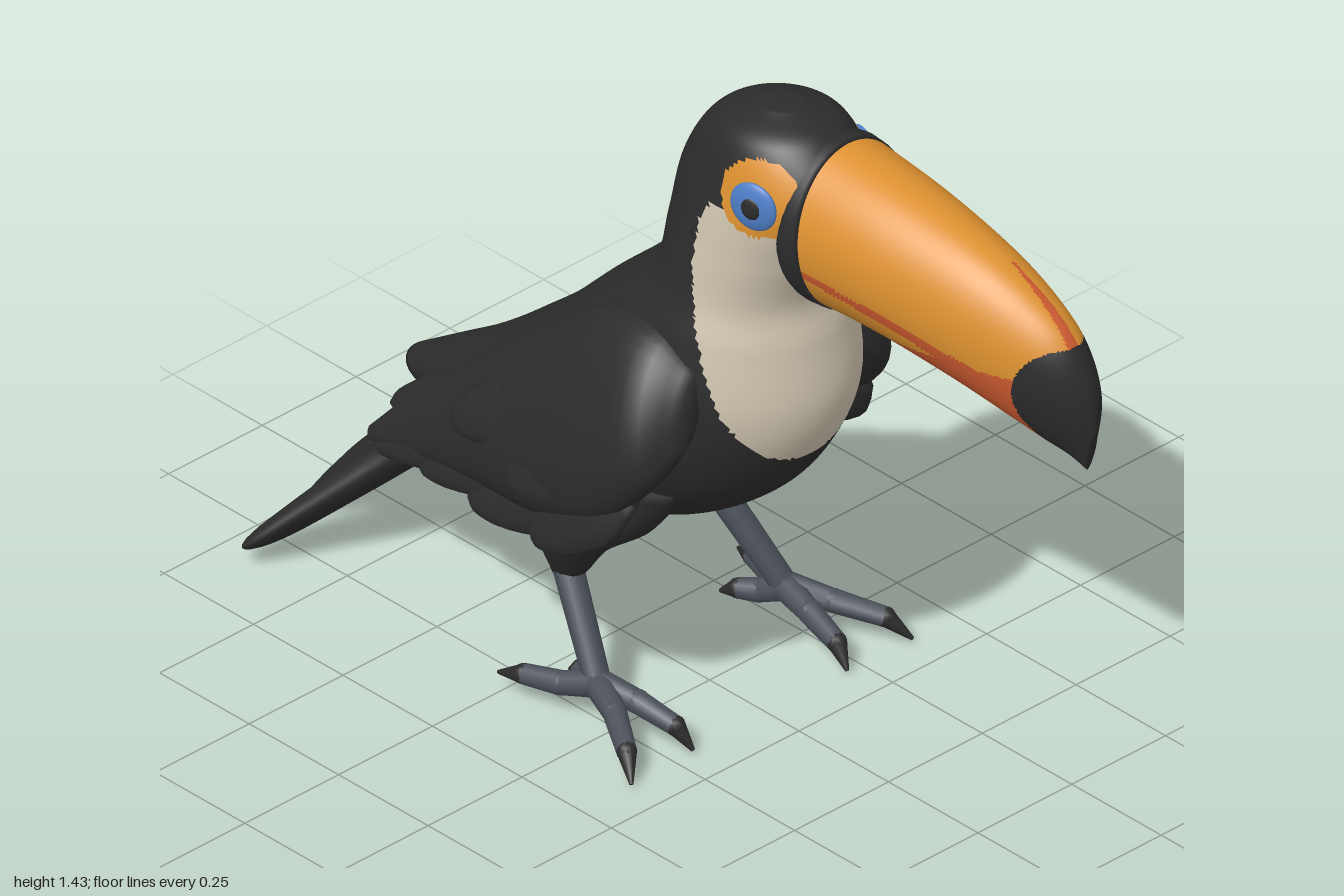
import * as THREE from 'three';

const mat = (name, color) => Object.assign(new THREE.MeshStandardMaterial({ color }), { name });

export function createModel() {
  const bird = new THREE.Group();
  bird.name = 'bird';
  const black = mat('black plumage', 0x2c2c2c);
  const cream = mat('cream bib', 0xd0c5b0);
  const orange = mat('beak orange', 0xdd9130);
  const rust = mat('beak red', 0xcc5a30);
  const blue = mat('eye blue', 0x4f7fc8);
  const red = mat('undertail red', 0xc43a26);
  const grey = mat('leg grey', 0x4b505a);

  const add = (name, geometry, material, parent = bird) => {
    const mesh = new THREE.Mesh(geometry, material);
    mesh.name = name;
    parent.add(mesh);
    return mesh;
  };

  // Closed loft through elliptical sections [ax, ay, bx, by, half width, z]:
  // a and b are opposite points of the section, seen from the side.
  // lean tips the sections sideways; paint(x, y, z) gives a material index for each face.
  function loft(sections, { steps = 20, sides = 20, lean = 0, paint, rough = 0 } = {}) {
    const curveA = new THREE.CatmullRomCurve3(sections.map(s => new THREE.Vector3(s[0], s[1], s[5])), false, 'catmullrom');
    const curveB = new THREE.CatmullRomCurve3(sections.map(s => new THREE.Vector3(s[2], s[3], s[4])), false, 'catmullrom');
    const pos = [], faces = [];
    for (let row = 0; row <= steps + 2; row++) {
      const t = Math.min(Math.max(row - 1, 0), steps) / steps;
      const a = curveA.getPoint(t), b = curveB.getPoint(t);
      const cap = row === 0 || row === steps + 2 ? 0 : 1;
      const tilt = lean * Math.hypot(a.x - b.x, a.y - b.y) / 2;
      for (let j = 0; j < sides; j++) {
        const q = j / sides * Math.PI * 2;
        const k = cap * (1 + rough * Math.sin(row * 12.9 + j * 7.3));
        const c = Math.cos(q) * k, s = Math.sin(q) * k;
        pos.push((a.x + b.x) / 2 + (a.x - b.x) / 2 * c,
          (a.y + b.y) / 2 + (a.y - b.y) / 2 * c,
          a.z + Math.max(b.z, 0.001) * s + tilt * c);
      }
    }
    for (let i = 0; i < steps + 2; i++) for (let j = 0; j < sides; j++) {
      const p = i * sides + j, q = i * sides + (j + 1) % sides;
      faces.push([p, q, p + sides], [q, q + sides, p + sides]);
    }
    const g = new THREE.BufferGeometry();
    g.setAttribute('position', new THREE.Float32BufferAttribute(pos, 3));
    if (paint) {
      const buckets = [[], [], []];
      for (const f of faces) {
        const mid = [0, 1, 2].map(k => (pos[f[0] * 3 + k] + pos[f[1] * 3 + k] + pos[f[2] * 3 + k]) / 3);
        buckets[paint(...mid)].push(f);
      }
      let start = 0;
      buckets.forEach((list, m) => {
        g.addGroup(start, list.length * 3, m);
        start += list.length * 3;
      });
      g.setIndex(buckets.flat(2));
    } else g.setIndex(faces.flat());
    g.computeVertexNormals();
    return g;
  }

  // Head and body, with the bib and the patch around the eye
  const bibEdge = [[0.645, 0.315], [0.67, 0.288], [0.7, 0.27], [0.8, 0.225], [0.9, 0.19], [1.0, 0.155], [1.1, 0.135], [1.2, 0.14], [1.25, 0.17]];
  const bodyPaint = (x, y, z) => {
    if (((x - 0.275) / 0.085) ** 2 + ((y - 1.295) / 0.08) ** 2 < 1 && Math.abs(z) > 0.05) return 2;
    for (let i = 1; i < bibEdge.length; i++) {
      const [y0, x0] = bibEdge[i - 1], [y1, x1] = bibEdge[i];
      if (y >= y0 && y < y1) return x > x0 + (x1 - x0) * (y - y0) / (y1 - y0) ? 1 : 0;
    }
    return 0;
  };
  add('body', loft([
    [0.25, 1.432, 0.16, 1.428, 0.04, 0], [0.345, 1.395, 0.055, 1.375, 0.12, 0],
    [0.42, 1.28, -0.02, 1.26, 0.155, 0], [0.35, 1.14, -0.045, 1.13, 0.172, 0],
    [0.3, 1.02, -0.06, 1.03, 0.188, 0], [0.315, 0.92, -0.12, 0.96, 0.215, 0],
    [0.33, 0.78, -0.24, 0.85, 0.245, 0], [0.29, 0.66, -0.35, 0.74, 0.255, 0.005],
    [0.2, 0.54, -0.45, 0.655, 0.25, 0.01], [0.04, 0.43, -0.53, 0.59, 0.225, 0.015],
    [-0.18, 0.365, -0.6, 0.54, 0.185, 0.025], [-0.38, 0.4, -0.68, 0.49, 0.135, 0.03], [-0.62, 0.38, -0.79, 0.42, 0.07, 0.03],
  ], { steps: 150, sides: 120, paint: bodyPaint }), [black, cream, orange]);

  // Beak with dark tip, red ridge, red mouth line and red lower edge
  const beakPaint = (x, y, z) => {
    if (((x - 0.95) / 0.085) ** 2 + ((y - 1.06) / 0.12) ** 2 < 1 || (x > 0.925 && y < 1.12)) return 2;
    const mouth = 1.165 - 0.12 * (x - 0.36) - 0.15 * Math.max(0, x - 0.6);
    const streak = Math.abs(y - mouth) < 0.01 + 0.035 * Math.max(0, x - 0.5);
    const keel = y < 1.053 + 0.16 * Math.max(0, x - 0.42) - 0.1 * Math.max(0, x - 0.7);
    const ridge = x > 0.78 && y > 1.15 && Math.abs(z + 0.065) < 0.05 * (x - 0.76) + 0.003;
    return streak || keel || ridge ? 1 : 0;
  };
  add('beak', loft([
    [0.34, 1.4, 0.34, 1.04, 0.148, -0.02], [0.55, 1.366, 0.52, 1.035, 0.135, -0.03],
    [0.75, 1.312, 0.7, 1.005, 0.113, -0.045], [0.88, 1.245, 0.82, 0.97, 0.09, -0.06],
    [0.95, 1.18, 0.89, 0.945, 0.068, -0.07], [0.988, 1.09, 0.935, 0.925, 0.042, -0.08],
    [0.996, 1.0, 0.972, 0.905, 0.01, -0.08],
  ], { steps: 110, sides: 110, paint: beakPaint }), [orange, rust, black]);
  add('beakBand', loft([
    [0.315, 1.398, 0.32, 1.042, 0.144, -0.018], [0.335, 1.404, 0.345, 1.035, 0.151, -0.019],
    [0.365, 1.4, 0.388, 1.036, 0.149, -0.021],
  ], { steps: 8, sides: 40 }), black);

  // The right wing is folded closer to the tail than the left
  const sweep = (x, z, s) => z * s + (s < 0 ? 0.13 * Math.max(0, -x) : 0);

  // Flattened feather between two points: h is half height, w half thickness
  const feather = (p, q, h, w, s) => {
    const d = new THREE.Vector2(q[0] - p[0], q[1] - p[1]).normalize();
    return loft([[0, 0.5], [0.3, 1], [0.7, 0.85], [0.93, 0.45], [1, 0.06]].map(([t, k]) => {
      const [x, y, z] = p.map((v, i) => v + (q[i] - v) * t);
      return [x - d.y * h * k, y + d.x * h * k, x + d.y * h * k, y - d.x * h * k, w * k, sweep(x, z, s)];
    }), { steps: 14, sides: 12, lean: s * 0.35 });
  };

  // Tapered round limb between two points
  const limb = (name, p, q, r0, r1, material, parent) => {
    const a = new THREE.Vector3(...p), b = new THREE.Vector3(...q);
    const m = add(name, new THREE.CylinderGeometry(r1, r0, a.distanceTo(b), 10), material, parent);
    m.position.copy(a).add(b).multiplyScalar(0.5);
    m.quaternion.setFromUnitVectors(new THREE.Vector3(0, 1, 0), b.clone().sub(a).normalize());
    const joint = add(name + 'Joint', new THREE.SphereGeometry(r0, 10, 8), material, parent);
    joint.position.copy(a);
  };

  const wingFeathers = [
    [[0.12, 0.72, 0.28], [-0.22, 0.52, 0.335], 0.09, 0.035], [[0.1, 0.62, 0.3], [-0.15, 0.42, 0.335], 0.08, 0.035],
    [[0.0, 0.75, 0.26], [-0.42, 0.54, 0.29], 0.08, 0.035], [[0.0, 0.54, 0.28], [-0.36, 0.39, 0.3], 0.07, 0.03],
    [[-0.15, 0.53, 0.27], [-0.52, 0.38, 0.28], 0.055, 0.025], [[-0.25, 0.53, 0.25], [-0.66, 0.355, 0.265], 0.05, 0.025],
    [[-0.2, 0.66, 0.21], [-0.66, 0.43, 0.22], 0.06, 0.03],
  ];
  const toes = [
    [[0.04, 0.075, 0.29], [0.13, 0.055, 0.345], [0.175, 0.012, 0.375]],
    [[0.04, 0.075, 0.23], [0.13, 0.055, 0.215], [0.17, 0.012, 0.205]],
    [[-0.12, 0.065, 0.28], [-0.2, 0.06, 0.305], [-0.255, 0.045, 0.32]],
    [[-0.1, 0.06, 0.23], [-0.14, 0.055, 0.21], [-0.18, 0.035, 0.2]],
  ];
  for (const s of [1, -1]) {
    const side = s > 0 ? 'left' : 'right';
    const flip = p => [p[0], p[1], p[2] * s];

    // Wing: smooth shoulder mass with overlapping feathers
    const wing = new THREE.Group();
    wing.name = side + 'Wing';
    bird.add(wing);
    add('wingMass', loft([
      [0.2, 0.74, 0.18, 0.88, 0.025, 0.23], [0.16, 0.65, 0.08, 0.94, 0.08, 0.25],
      [0.05, 0.54, -0.07, 0.92, 0.09, 0.252], [-0.12, 0.46, -0.24, 0.8, 0.085, 0.245],
      [-0.33, 0.42, -0.42, 0.65, 0.065, 0.235], [-0.53, 0.38, -0.58, 0.5, 0.035, 0.24],
      [-0.67, 0.36, -0.68, 0.385, 0.008, 0.26],
    ].map(r => [...r.slice(0, 5), sweep(r[0], r[5], s)]), { steps: 30, sides: 28, lean: s * 0.33 }), black, wing);
    wingFeathers.forEach(([p, q, h, w]) => add('wingFeather', feather(p, q, h, w, s), black, wing));

    // Leg: feathered thigh, shank, four toes with claws
    const leg = new THREE.Group();
    leg.name = side + 'Leg';
    bird.add(leg);
    const hip = s > 0 ? 0.21 : 0.18;
    add('thigh', loft([
      [0.1, 0.55, -0.2, 0.58, 0.08, 0.17 * s], [0.03, 0.44, -0.23, 0.46, 0.09, 0.185 * s],
      [-0.07, 0.36, -0.23, 0.36, 0.07, hip * s], [-0.13, 0.28, -0.21, 0.26, 0.03, hip * s],
    ], { steps: 16, sides: 18 }), black, leg);
    const ankle = flip([-0.05, 0.085, 0.25]);
    limb('shank', flip([-0.185, 0.3, hip]), ankle, 0.031, 0.027, grey, leg);
    for (const [a, b, c] of toes) {
      limb('toe', ankle, flip(a), 0.03, 0.024, grey, leg);
      limb('toeEnd', flip(a), flip(b), 0.025, 0.021, grey, leg);
      limb('claw', flip(b), flip(c), 0.021, 0.004, black, leg);
    }

    // Eye: blue ring around a dark pupil
    const eye = new THREE.Group();
    eye.name = side + 'Eye';
    eye.position.set(0.275, 1.283, 0.145 * s);
    eye.rotation.y = s > 0 ? 0.26 : Math.PI - 0.26;
    bird.add(eye);
    add('iris', new THREE.SphereGeometry(1, 24, 14), blue, eye).scale.set(0.052, 0.053, 0.014);
    const pupil = add('pupil', new THREE.SphereGeometry(1, 16, 10), black, eye);
    pupil.scale.set(0.022, 0.024, 0.006);
    pupil.position.z = 0.011;
  }

  // Tail: three broad feathers, sections [x, y, z, half width]
  const tail = new THREE.Group();
  tail.name = 'tail';
  bird.add(tail);
  [
    [[-0.5, 0.45, 0.03, 0.1], [-0.68, 0.33, 0.03, 0.11], [-0.84, 0.18, 0.03, 0.135], [-0.95, 0.05, 0.03, 0.145], [-0.99, 0.008, 0.04, 0.08]],
    [[-0.5, 0.45, -0.01, 0.06], [-0.68, 0.33, -0.02, 0.07], [-0.84, 0.18, -0.08, 0.085], [-0.95, 0.08, -0.12, 0.075], [-0.975, 0.045, -0.13, 0.03]],
    [[-0.5, 0.42, 0.08, 0.06], [-0.66, 0.31, 0.1, 0.08], [-0.78, 0.19, 0.18, 0.1], [-0.89, 0.07, 0.28, 0.1], [-0.93, 0.03, 0.3, 0.05]],
  ].forEach(rows => add('tailFeather', loft(rows.map(([x, y, z, w], i) => {
    const h = [0.045, 0.042, 0.036, 0.024, 0.008][i];
    return [x + h * 0.75, y - h * 0.66, x - h * 0.75, y + h * 0.66, w, z];
  }), { steps: 20, sides: 20 }), black, tail));

  // Ragged red feathers under the tail
  const under = loft([
    [-0.32, 0.35, -0.33, 0.43, 0.08, 0.03], [-0.45, 0.29, -0.42, 0.43, 0.115, 0.03],
    [-0.58, 0.26, -0.56, 0.4, 0.1, 0.03], [-0.69, 0.25, -0.67, 0.33, 0.045, 0.03],
  ], { steps: 14, sides: 24, rough: 0.1 }).toNonIndexed();
  under.computeVertexNormals();
  add('undertail', under, red);

  return bird;
}
